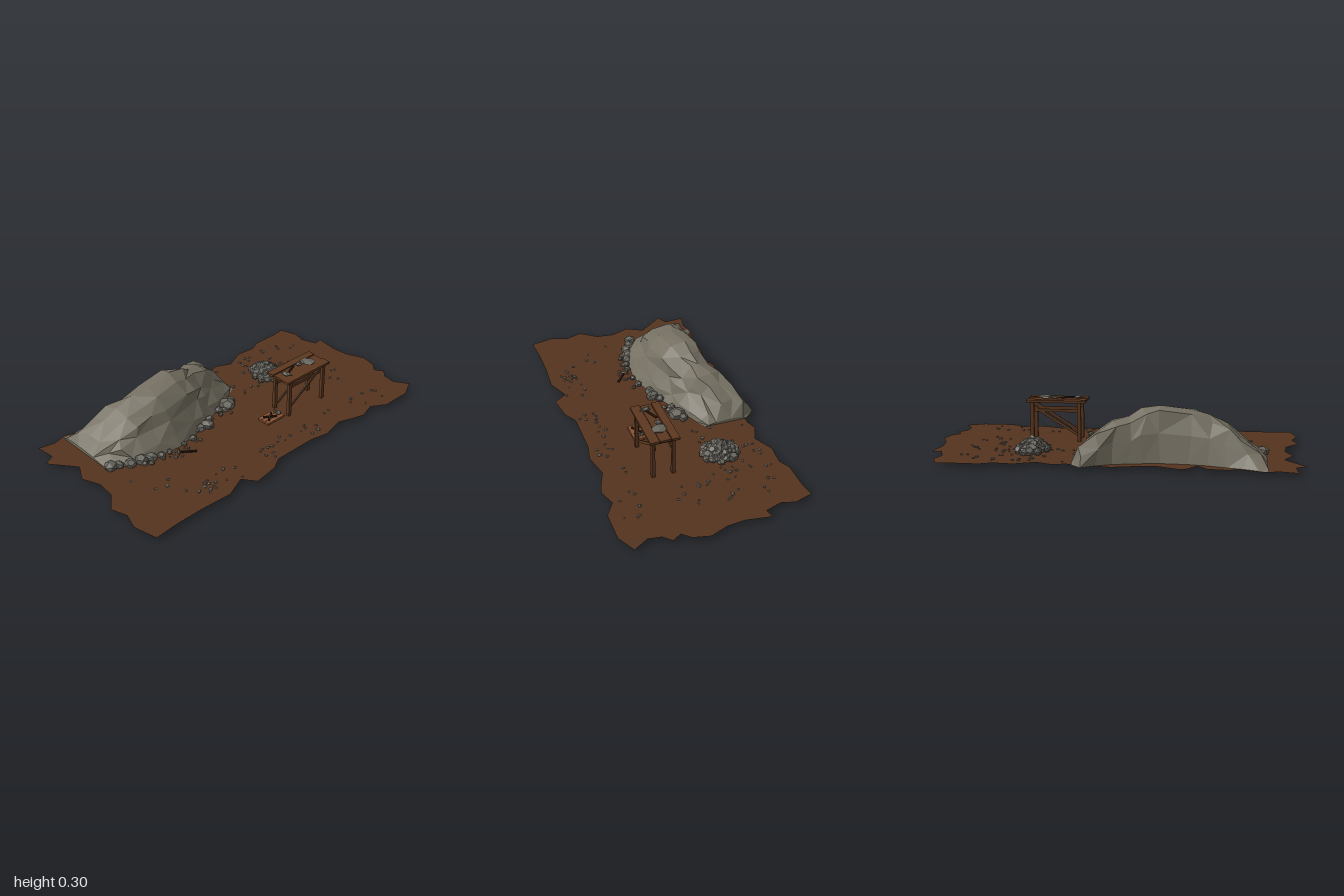
import * as THREE from 'three';
import { mergeGeometries } from 'three/addons/utils/BufferGeometryUtils.js';

const mat = (name, color, extra = {}) => {
  const m = new THREE.MeshStandardMaterial({ color, flatShading: true, ...extra });
  m.name = name;
  return m;
};

export function createModel() {
  const model = new THREE.Group();
  const soil = mat('soil', 0x54331f, { side: THREE.DoubleSide });
  const rock = mat('rock', 0x757062);
  const stone = mat('stone', 0x66645c);
  const wood = mat('wood', 0x5c381f);
  const board = mat('paleBoard', 0x8a5434);
  const dark = mat('darkWood', 0x2e1a10);
  const GROUND = 0.022;

  let seed = 11;
  const rand = (a = 0, b = 1) => {
    seed = (seed * 16807) % 2147483647;
    return a + (b - a) * seed / 2147483647;
  };
  const add = (parent, name, geo, material) => {
    const m = new THREE.Mesh(geo, material);
    m.name = name;
    parent.add(m);
    return m;
  };
  const group = name => {
    const g = new THREE.Group();
    g.name = name;
    model.add(g);
    return g;
  };
  const box = (parent, name, x, y, z, w, h, d, material = wood) => {
    const m = add(parent, name, new THREE.BoxGeometry(w, h, d), material);
    m.position.set(x, y, z);
    return m;
  };

  // Ragged sheet of earth
  const edge = [-.95, -.49, -.86, -.47, -.78, -.49, -.66, -.45, -.6, -.47, -.5, -.46, -.45, -.4, -.4, -.47,
    -.36, -.48, -.24, -.43, -.17, -.44, -.02, -.48, .15, -.45, .22, -.44, .28, -.46, .37, -.42, .48, -.47,
    .59, -.46, .65, -.49, .8, -.49, .88, -.5, .91, -.4, .89, -.33, .92, -.24, .97, -.25, .95, -.11, .96, -.02,
    1, .08, .98, .17, .94, .21, .97, .26, .93, .3, .92, .37, .97, .45, .87, .5, .7, .5, .62, .45, .53, .48,
    .46, .46, .38, .43, .25, .46, .15, .44, -.1, .44, -.17, .48, -.31, .5, -.36, .43, -.48, .48, -.66, .47,
    -.8, .47, -.95, .48, -.98, .35, -.95, .26, -.98, .17, -.91, .08, -.9, -.02, -.94, -.12, -.89, -.21,
    -1, -.35, -.94, -.38];
  const outline = [];
  for (let i = 0; i < edge.length; i += 2) outline.push(new THREE.Vector2(edge[i], -edge[i + 1]));
  const earth = new THREE.ShapeGeometry(new THREE.Shape(outline)).rotateX(-Math.PI / 2);
  add(model, 'ground', earth, soil).position.y = GROUND;

  // Rock outcrop: cross-sections [x, front z, back z, height] lofted along x
  const sections = [
    [-.80, -.12, -.48, .04], [-.755, -.07, -.47, .10], [-.68, -.04, -.44, .16], [-.60, -.01, -.42, .22],
    [-.50, .0, -.39, .26], [-.40, .01, -.375, .28], [-.26, -.02, -.37, .30], [-.17, -.05, -.385, .285],
    [-.10, -.08, -.40, .245], [-.02, -.11, -.42, .225], [.06, -.15, -.46, .185], [.13, -.18, -.51, .12],
    [.185, -.21, -.45, .04]];
  // [fraction from front to back, fraction of height]
  const profile = [[0, 0], [.07, .22], [.19, .5], [.26, .72], [.43, .95], [.62, 1], [.8, .93], [.92, .55], [1, 0]];
  const grid = sections.map(([x, f, b, h], i) => profile.map(([t, k], j) => {
    const n = j > 0 && j < 8 && i > 0 && i < 12 ? 1 : 0;
    return new THREE.Vector3(
      x + n * rand(-.02, .02),
      GROUND + (h - GROUND) * k * (1 + n * (j === 5 ? 0 : rand(-.09, .05))),
      f + (b - f) * t + n * rand(-.014, .014));
  }));
  const pos = [];
  const tri = (...p) => p.forEach(v => pos.push(v.x, v.y, v.z));
  for (let i = 0; i < 12; i++) for (let j = 0; j < 8; j++) {
    const a = grid[i][j], b = grid[i + 1][j], c = grid[i + 1][j + 1], d = grid[i][j + 1];
    if ((i + j) % 2) { tri(a, b, c); tri(a, c, d); } else { tri(a, b, d); tri(b, c, d); }
  }
  for (let j = 1; j < 8; j++) {
    tri(grid[0][0], grid[0][j], grid[0][j + 1]);
    tri(grid[12][0], grid[12][j + 1], grid[12][j]);
  }
  const hill = new THREE.BufferGeometry();
  hill.setAttribute('position', new THREE.Float32BufferAttribute(pos, 3));
  hill.computeVertexNormals();
  add(model, 'rockOutcrop', hill, rock);

  // Randomly turned and squashed stone
  const stoneGeo = (x, y, z, r, flat = .75) => {
    const g = rand() > .5 ? new THREE.DodecahedronGeometry(r) : new THREE.IcosahedronGeometry(r);
    return g.rotateX(rand(0, 6)).rotateZ(rand(0, 6)).scale(rand(.8, 1.25), flat, rand(.75, 1.1))
      .rotateY(rand(0, 6)).translate(x, y, z);
  };

  // Fallen rocks along the foot of the outcrop
  const foot = [];
  [[-.78, -.09, .04], [-.74, -.07, .03], [-.69, -.04, .035], [-.63, -.03, .04], [-.58, -.01, .035],
    [-.53, .015, .025], [-.48, .02, .02], [-.38, .02, .02], [-.31, .01, .022], [-.22, -.03, .032],
    [-.17, -.03, .04], [-.13, -.06, .028], [-.03, -.09, .03], [.04, -.10, .045], [.08, -.12, .03],
    [-.01, -.07, .02]].forEach(([x, z, r]) => {
    foot.push(stoneGeo(x, .036, z, r * .95));
    foot.push(stoneGeo(x + rand(-.05, .05), .03, z + rand(0, .04), r * .45));
  });
  add(model, 'fallenRocks', mergeGeometries(foot), stone);

  // Heap of rubble
  const heap = [stoneGeo(.49, .03, -.23, .034, .9)];
  for (let i = 0; i < 46; i++) {
    const a = i * 2.4, k = Math.sqrt(i / 46);
    heap.push(stoneGeo(.435 + .085 * k * Math.cos(a), .095 - .058 * k, -.19 + .09 * k * Math.sin(a),
      rand(.018, .03), .9));
  }
  add(model, 'rubbleHeap', mergeGeometries(heap), stone);

  // Scattered pebbles in patches [x0, x1, z0, z1, count]
  const pebbles = [];
  [[-.58, -.3, .3, .44, 16], [-.15, .3, .3, .43, 18], [.3, .8, .3, .43, 9], [.58, .8, -.42, .2, 24],
    [.2, .58, -.42, -.28, 12], [.2, .36, -.25, -.08, 6], [.53, .66, -.25, -.08, 6],
    [-.82, -.6, .02, .35, 6], [-.5, -.3, .03, .09, 8]]
    .forEach(([x0, x1, z0, z1, n]) => {
      for (let i = 0; i < n; i++) pebbles.push(stoneGeo(rand(x0, x1), .026, rand(z0, z1), rand(.006, .012), .55));
    });
  add(model, 'pebbles', mergeGeometries(pebbles), stone);

  // Work table
  const table = group('workTable');
  box(table, 'backPlank', .355, .248, .082, .33, .014, .042);
  box(table, 'middlePlank', .355, .246, .136, .32, .012, .058);
  box(table, 'frontPlank', .355, .248, .193, .33, .014, .05);
  for (const x of [.228, .492]) {
    box(table, 'crossBeam', x, .233, .14, .018, .014, .13);
    for (const z of [.088, .196]) box(table, 'leg', x, .132, z, .02, .22, .018);
  }
  for (const z of [.1, .184]) {
    box(table, 'sideRail', .36, .192, z, .27, .016, .008);
    box(table, 'brace', .36, .135, z, .29, .016, .007).rotation.z = .56;
  }

  // Pick: handle with a pointed stone-grey head
  const pick = (name, x, y, z, turn) => {
    const g = group(name);
    box(g, 'handle', 0, 0, 0, .1, .008, .01, dark);
    for (const s of [-1, 1]) {
      const tip = add(g, 'headPoint', new THREE.ConeGeometry(.009, .036, 4), stone);
      tip.rotation.x = s * Math.PI / 2;
      tip.position.set(-.045, .002, s * .017);
    }
    g.position.set(x, y, z);
    g.rotation.y = turn;
  };
  pick('tablePick', .285, .262, .14, .4);
  pick('groundPick', -.41, .034, .08, -.65);

  // Stones resting on the table
  add(model, 'tableStones', mergeGeometries([
    stoneGeo(.425, .262, .14, .042, .26), stoneGeo(.37, .26, .125, .016, .5),
    stoneGeo(.245, .262, .15, .022, .5)]), stone);

  // Pale board on the ground with crossed slats
  const panel = group('crossedBoard');
  for (const z of [.132, .158, .184]) box(panel, 'slat', .13, .034, z, .125, .012, .024, board);
  for (const s of [-1, 1]) box(panel, 'crossSlat', .12, .044, .158, .075, .008, .01, dark).rotation.y = s * .6;
  add(panel, 'boardStones', mergeGeometries([
    stoneGeo(.172, .05, .17, .018, .6), stoneGeo(.17, .048, .145, .012, .6)]), stone);

  return model;
}
